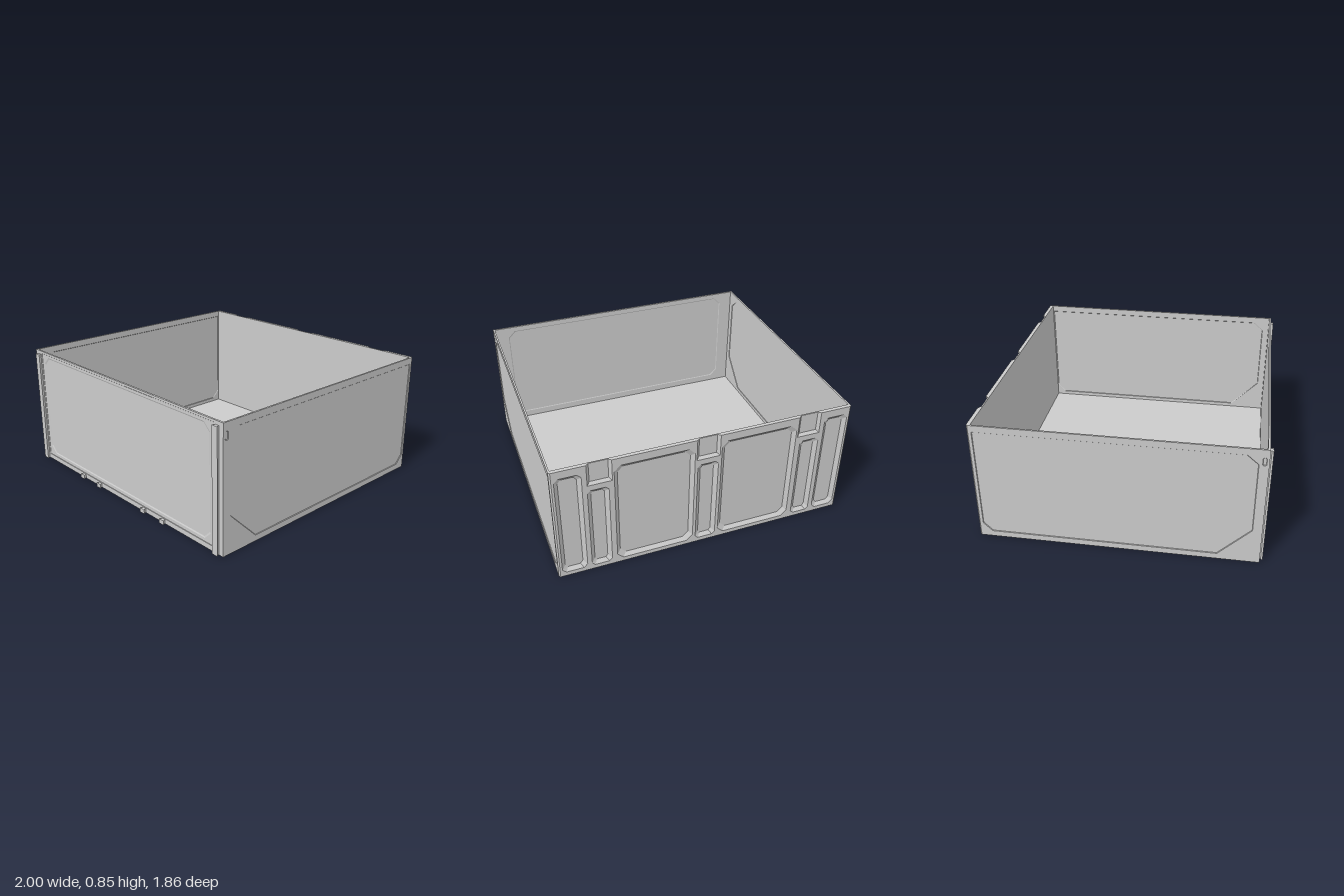
import * as THREE from 'three';

const H = 0.845, FRONT = 0.91, BACK = -0.93;
const material = new THREE.MeshStandardMaterial({ color: 0xcccccc, flatShading: true, side: THREE.DoubleSide });

const v2 = (list) => list.map(([x, y]) => new THREE.Vector2(x, y));
const mirror = (list) => list.map(([x, y]) => [-x, y]).reverse();

// Rectangle with its corners cut off by c
function cutRect(x0, y0, x1, y1, c = 0) {
  if (!c) return [[x0, y0], [x1, y0], [x1, y1], [x0, y1]];
  return [[x0 + c, y0], [x1 - c, y0], [x1, y0 + c], [x1, y1 - c],
    [x1 - c, y1], [x0 + c, y1], [x0, y1 - c], [x0, y0 + c]];
}

// Shrinks an outline towards its centre by t on each side
function inset(list, t) {
  const box = new THREE.Box2().setFromPoints(v2(list));
  const c = box.getCenter(new THREE.Vector2()), s = box.getSize(new THREE.Vector2());
  return list.map(([x, y]) => [c.x + (x - c.x) * (1 - 2 * t / s.x), c.y + (y - c.y) * (1 - 2 * t / s.y)]);
}

function addMesh(parent, name, geometry) {
  const mesh = new THREE.Mesh(geometry, material);
  mesh.name = name;
  parent.add(mesh);
  return mesh;
}

// Sloped wall between two matching outlines
function wall(a, za, b, zb, closed = true) {
  const pos = [];
  const n = closed ? a.length : a.length - 1;
  for (let i = 0; i < n; i++) {
    const j = (i + 1) % a.length;
    const p = [...a[i], za], q = [...a[j], za], r = [...b[j], zb], s = [...b[i], zb];
    pos.push(...p, ...q, ...r, ...p, ...r, ...s);
  }
  const g = new THREE.BufferGeometry();
  g.setAttribute('position', new THREE.Float32BufferAttribute(pos, 3));
  g.computeVertexNormals();
  return g;
}

// Flat face towards local +z with sunken pockets
function panel(parent, name, outline, pockets, depth, taper, floors = true) {
  const group = new THREE.Group();
  group.name = name;
  const shape = new THREE.Shape(v2(outline));
  for (const pocket of pockets) {
    shape.holes.push(new THREE.Path(v2(pocket)));
    const low = inset(pocket, taper);
    addMesh(group, 'pocketWall', wall(pocket, 0, low, -depth));
    if (floors) addMesh(group, 'pocketFloor', new THREE.ShapeGeometry(new THREE.Shape(v2(low)))).position.z = -depth;
  }
  addMesh(group, 'face', new THREE.ShapeGeometry(shape));
  parent.add(group);
  return group;
}

export function createModel() {
  const model = new THREE.Group();
  model.name = 'drawer';

  // Side walls, x of the outline runs towards the back
  const sidePanel = [[-0.64, 0.04], [0.84, 0.04], [0.90, 0.10], [0.90, 0.80], [-0.78, 0.80], [-0.85, 0.74], [-0.85, 0.25]];
  const slot = cutRect(-0.895, 0.735, -0.87, 0.79, 0.007);
  const outer = cutRect(-FRONT, 0, 0.92, H), inner = cutRect(-0.896, 0.012, 0.905, H);
  for (const s of [1, -1]) {
    const flip = (p) => (s > 0 ? p : mirror(p));
    const out = panel(model, 'sideOuter', flip(outer), [flip(sidePanel), flip(slot)], 0.004, 0.003);
    out.rotation.y = s * Math.PI / 2;
    out.position.x = s;
    const back = (p) => (s > 0 ? mirror(p) : p);
    const inn = panel(model, 'sideInner', back(inner), [back(sidePanel)], 0.003, 0.003);
    inn.rotation.y = -s * Math.PI / 2;
    inn.position.x = s * 0.988;
  }

  // Front wall with a stepped frame and a sunken panel
  const frontPanel = cutRect(-0.89, 0.06, 0.89, 0.81, 0.05);
  const frame = cutRect(-0.92, 0.035, 0.92, 0.83);
  panel(model, 'frontFrame', cutRect(-1, 0, 1, H), [frame], 0.002, 0.002, false).position.z = FRONT;
  panel(model, 'frontPanel', inset(frame, 0.002), [frontPanel], 0.004, 0.008).position.z = FRONT - 0.002;
  const frontInner = panel(model, 'frontInner', cutRect(-0.988, 0.012, 0.988, H), [frontPanel], 0.003, 0.006);
  frontInner.rotation.y = Math.PI;
  frontInner.position.z = 0.896;

  // Back wall: ribbed pockets with three notches open at the top
  const pockets = [];
  for (const [x0, x1, top, c] of [[0.08, 0.61, 0.79, 0.04], [0.635, 0.78, 0.65, 0.02], [0.80, 0.975, 0.79, 0.025]]) {
    const p = cutRect(x0 + 0.01, 0.03, x1, top, c);
    pockets.push(p, mirror(p));
  }
  pockets.push(cutRect(-0.07, 0.03, 0.07, 0.65, 0.02));
  const notches = [-0.7, 0, 0.7], nw = 0.078, nb = 0.69;
  const backOutline = [[-0.99, 0], [0.99, 0], [0.99, H]];
  for (const x of [...notches].reverse()) backOutline.push([x + nw, H], [x + nw, nb], [x - nw, nb], [x - nw, H]);
  backOutline.push([-0.99, H]);
  const back = panel(model, 'backOuter', backOutline, pockets, 0.02, 0.025);
  for (const x of notches) {
    const edge = [[x - nw, H], [x - nw, nb], [x + nw, nb], [x + nw, H]];
    const w = nw - 0.018;
    const low = [[x - w, H], [x - w, nb + 0.018], [x + w, nb + 0.018], [x + w, H]];
    addMesh(back, 'notchWall', wall(edge, 0, low, -0.016, false));
    addMesh(back, 'notchFloor', new THREE.ShapeGeometry(new THREE.Shape(v2(low)))).position.z = -0.016;
  }
  for (const s of [1, -1]) {
    addMesh(back, 'cornerBevel', wall([[s * 0.99, 0], [s * 0.99, H]], 0, [[s, 0], [s, H]], -0.01, false));
  }
  back.rotation.y = Math.PI;
  back.position.z = BACK;
  addMesh(model, 'backInner', new THREE.PlaneGeometry(1.976, H - 0.012)).position.set(0, (H + 0.012) / 2, -0.905);

  // Bottom, floor and rim; the plan is drawn with y = -z
  const plan = [[-1, -FRONT], [1, -FRONT], [1, 0.92], [0.99, -BACK]];
  const end = [[-0.99, -BACK], [-1, 0.92]];
  const bottom = addMesh(model, 'bottom', new THREE.ShapeGeometry(new THREE.Shape(v2([...plan, ...end]))));
  bottom.rotation.x = -Math.PI / 2;
  const floor = addMesh(model, 'floor', new THREE.PlaneGeometry(1.976, 1.801));
  floor.rotation.x = -Math.PI / 2;
  floor.position.set(0, 0.012, -0.0045);
  const rimPlan = [...plan];
  for (const x of [...notches].reverse()) {
    rimPlan.push([x + nw, 0.93], [x + nw - 0.018, 0.914], [x - nw + 0.018, 0.914], [x - nw, 0.93]);
  }
  const rimShape = new THREE.Shape(v2([...rimPlan, ...end]));
  rimShape.holes.push(new THREE.Path(v2(cutRect(-0.988, -0.896, 0.988, 0.905))));
  const rim = addMesh(model, 'rim', new THREE.ShapeGeometry(rimShape));
  rim.rotation.x = -Math.PI / 2;
  rim.position.y = H;

  // Dovetail rails at the front corners and small tabs along the bottom
  function dovetail(name, x, height) {
    const section = new THREE.Shape(v2([[-0.014, 0.001], [-0.014, -0.008], [-0.023, -0.02], [0.023, -0.02], [0.014, -0.008], [0.014, 0.001]]));
    const mesh = addMesh(model, name, new THREE.ExtrudeGeometry(section, { depth: height, bevelEnabled: false }));
    mesh.rotation.x = -Math.PI / 2;
    mesh.position.set(x, 0, FRONT);
  }
  for (const s of [1, -1]) {
    dovetail('cornerRail', s * 0.95, 0.82);
    for (const x of [0.25, 0.45]) dovetail('bottomTab', s * x, 0.03);
  }
  return model;
}
